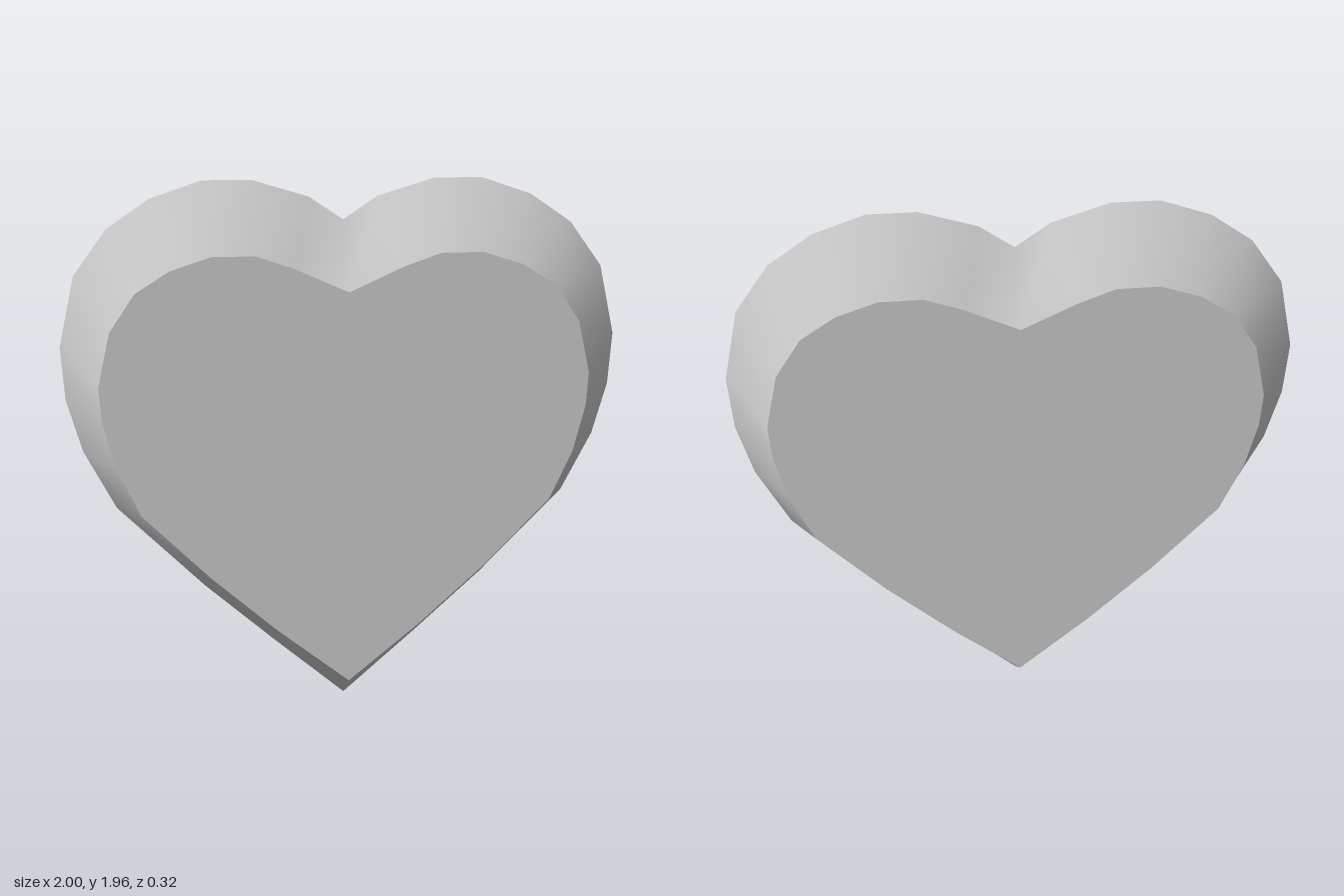
import * as THREE from 'three';

// Left half of each outline, from the bottom tip up to the notch
const rim = [[0, 0], [0.27, 0.24], [0.52, 0.47], [0.83, 0.79], [0.94, 1.01], [0.99, 1.2], [1, 1.39],
  [0.94, 1.64], [0.82, 1.8], [0.67, 1.9], [0.49, 1.96], [0.32, 1.96], [0.12, 1.9], [0, 1.82]];
const face = [[0, 0.125], [0.26, 0.34], [0.5, 0.56], [0.74, 0.81], [0.82, 0.99], [0.86, 1.16], [0.866, 1.28],
  [0.82, 1.47], [0.73, 1.6], [0.61, 1.675], [0.47, 1.72], [0.32, 1.72], [0.19, 1.675], [0, 1.59]];
const HALF_DEPTH = 0.16;

// Close an outline by mirroring it in x
const mirror = (half) => [...half, ...half.slice(1, -1).reverse().map(([x, y]) => [-x, y])];

// Smooth sloping band from the rim to the raised flat face
function bevelGeometry() {
  const outer = mirror(rim), inner = mirror(face), n = outer.length;
  const pos = [], index = [];
  outer.forEach(([x, y]) => pos.push(x, y, 0));
  inner.forEach(([x, y]) => pos.push(x, y, HALF_DEPTH));
  for (let i = 0; i < n; i++) {
    const j = (i + 1) % n;
    index.push(i, j, n + j, i, n + j, n + i);
  }
  const geo = new THREE.BufferGeometry();
  geo.setAttribute('position', new THREE.Float32BufferAttribute(pos, 3));
  geo.setIndex(index);
  geo.computeVertexNormals();
  return geo;
}

export function createModel() {
  const group = new THREE.Group();
  group.name = 'heart';
  const material = new THREE.MeshStandardMaterial({ color: 0xcccccc });
  const bevel = bevelGeometry();
  const flat = new THREE.ShapeGeometry(new THREE.Shape(mirror(face).map(([x, y]) => new THREE.Vector2(x, y))));
  flat.translate(0, 0, HALF_DEPTH);

  // Two identical halves, back to back
  for (const side of ['front', 'back']) {
    const half = new THREE.Group();
    half.name = side + 'Half';
    for (const [name, geo] of [['Bevel', bevel], ['Face', flat]]) {
      const mesh = new THREE.Mesh(geo, material);
      mesh.name = side + name;
      half.add(mesh);
    }
    if (side === 'back') half.rotation.y = Math.PI;
    group.add(half);
  }
  return group;
}
